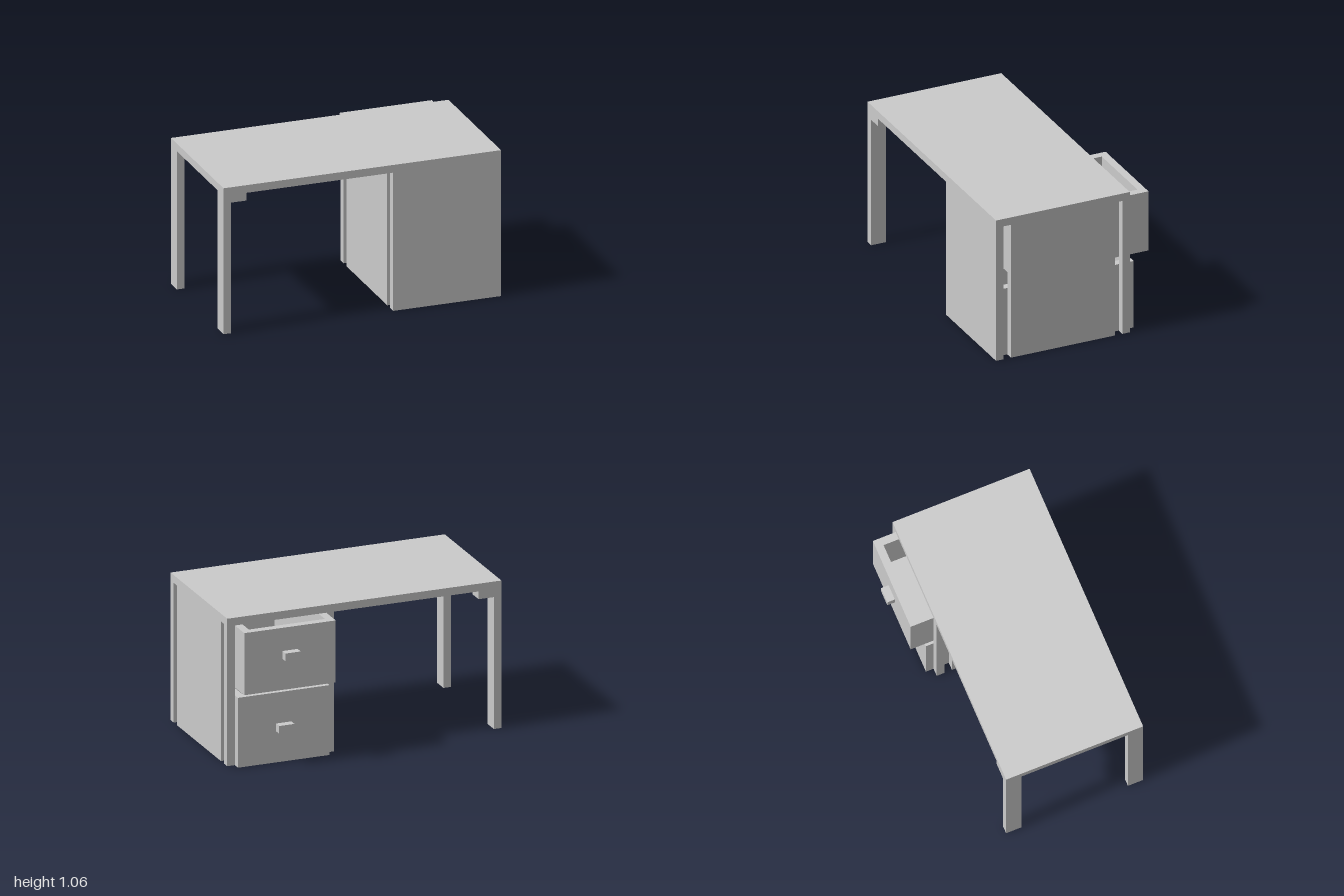
import * as THREE from 'three';

const T = 0.0556; // board thickness
const material = new THREE.MeshStandardMaterial({ color: 0xcccccc, flatShading: true });

// Box given by its extents along each axis
function board(parent, name, [x0, x1], [y0, y1], [z0, z1]) {
  const mesh = new THREE.Mesh(new THREE.BoxGeometry(x1 - x0, y1 - y0, z1 - z0), material);
  mesh.position.set((x0 + x1) / 2, (y0 + y1) / 2, (z0 + z1) / 2);
  mesh.name = name;
  parent.add(mesh);
}

function group(parent, name) {
  const g = new THREE.Group();
  g.name = name;
  parent.add(g);
  return g;
}

// Open-topped drawer with a block handle on its back-facing front
function drawer(parent, name, [x0, x1], [y0, y1], [z0, z1]) {
  const g = group(parent, name);
  board(g, 'drawerFront', [x0, x1], [y0, y1], [z0, z0 + T]);
  board(g, 'drawerEnd', [x0, x1], [y0, y1], [z1 - T, z1]);
  board(g, 'drawerSideRight', [x0, x0 + T], [y0, y1], [z0 + T, z1 - T]);
  board(g, 'drawerSideLeft', [x1 - T, x1], [y0, y1], [z0 + T, z1 - T]);
  board(g, 'drawerFloor', [x0 + T, x1 - T], [y0, y0 + T], [z0 + T, z1 - T]);
  const cx = (x0 + x1) / 2, hy = y0 + 0.223;
  board(g, 'handle', [cx - T, cx + T], [hy, hy + T], [z0 - T, z0]);
}

export function createModel() {
  const desk = new THREE.Group();
  desk.name = 'desk';
  const back = -0.389, front = 0.611, top = 1.0, inner = 0.222;

  board(desk, 'tabletop', [-1, 1], [top, top + T], [back, front]);

  // Free-standing legs with corner blocks
  for (const [side, z] of [['back', [back, back + 2 * T]], ['front', [front - 2 * T, front]]]) {
    board(desk, side + 'Leg', [-1, -1 + T], [0, top], z);
    board(desk, side + 'LegBlock', [-1 + T, -1 + 3 * T], [top - T, top], z);
  }

  // Drawer pedestal: closed front panel, side panels and back posts, separated by slots
  const pedestal = group(desk, 'pedestal');
  board(pedestal, 'frontPanel', [inner, 1], [0, top], [front - T, front]);
  for (const [side, x] of [['right', [inner, inner + T]], ['left', [1 - T, 1]]]) {
    board(pedestal, side + 'SidePanel', x, [0, top], [back + 2 * T, front - 2 * T]);
    board(pedestal, side + 'BackPost', x, [0, top], [back, back + T]);
  }

  // Drawers, the upper one pulled further out
  const width = [inner + T, 1 - T];
  drawer(pedestal, 'lowerDrawer', width, [0, 0.5], [back - T, front - T]);
  drawer(pedestal, 'upperDrawer', width, [0.5 + T, top], [back - 3 * T, front - 3 * T]);

  return desk;
}
